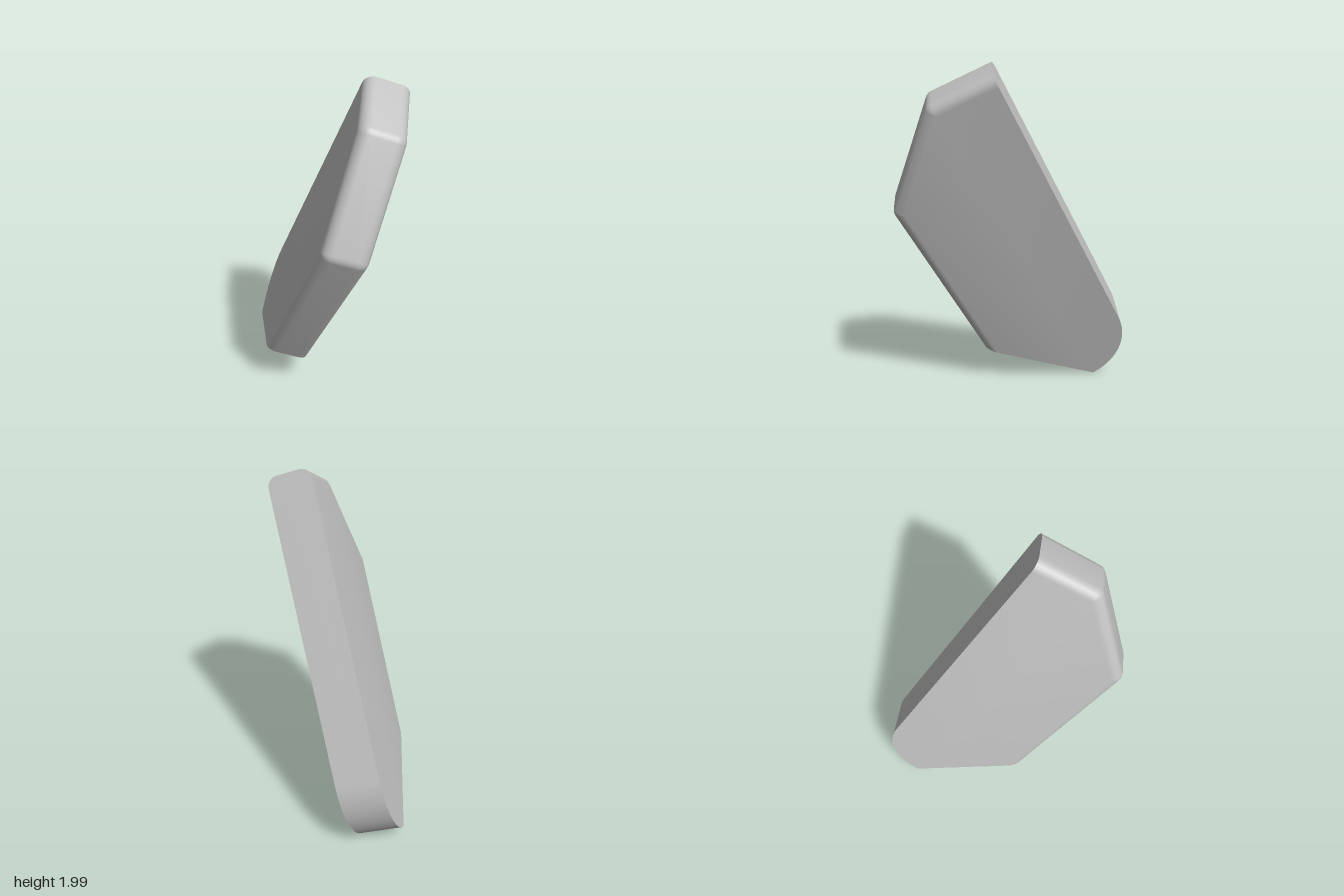
import * as THREE from 'three';
import { toCreasedNormals } from 'three/addons/utils/BufferGeometryUtils.js';

const RIGHT = 0.754, TOP = 1.85, LEFT = -0.085;   // straight walls of the plate outline
const FRONT = -0.12, BACK = -0.376, R = 0.06;     // faces and edge rounding

// Convex outline, counter-clockwise; the top, sloped and left walls are inset by d
function outline(d) {
  const pts = [];
  // rounded foot, from the bottom corner up to the right wall
  const foot = { x: 0.39, y: 0.1, r: 0.364 }, steps = 24;
  for (let i = 0; i <= steps; i++) {
    const a = -1.433 * (1 - i / steps);
    pts.push([foot.x + foot.r * Math.cos(a), foot.y + foot.r * Math.sin(a)]);
  }
  pts.push([RIGHT, TOP - d]);
  // softened corners at both ends of the 45 degree slope
  const k = R * Math.tan(Math.PI / 8), c = R - d;
  const corners = [[0.382 + k, TOP - R, 90], [LEFT + R, 1.383 - k, 135]];
  for (const [x, y, start] of corners) {
    for (let i = 0; i <= 4; i++) {
      const a = THREE.MathUtils.degToRad(start + i * 11.25);
      pts.push([x + c * Math.cos(a), y + c * Math.sin(a)]);
    }
  }
  // lower left corner slides along the slanted bottom wall
  pts.push([LEFT + d, 0.26 - d * 0.993]);
  return pts;
}

function plateGeometry() {
  // stacked outlines from back to front, with quarter-round rims
  const n = 6, layers = [];
  for (let i = 0; i <= n; i++) {
    const a = (i / n) * Math.PI / 2;
    layers.push([R * (1 - Math.sin(a)), BACK + R * (1 - Math.cos(a))]);
  }
  for (let i = n; i >= 0; i--) {
    const a = (i / n) * Math.PI / 2;
    layers.push([R * (1 - Math.sin(a)), FRONT - R * (1 - Math.cos(a))]);
  }
  const pos = [], idx = [];
  let m = 0;
  for (const [d, z] of layers) {
    const loop = outline(d);
    m = loop.length;
    for (const [x, y] of loop) pos.push(x, y, z);
  }
  for (let l = 0; l < layers.length - 1; l++) {
    for (let i = 0; i < m; i++) {
      const j = (i + 1) % m, a = l * m + i, b = l * m + j;
      idx.push(a, b, b + m, a, b + m, a + m);
    }
  }
  // flat back and front faces
  const last = (layers.length - 1) * m;
  for (let i = 1; i < m - 1; i++) {
    idx.push(0, i + 1, i);
    idx.push(last, last + i, last + i + 1);
  }
  const g = new THREE.BufferGeometry();
  g.setAttribute('position', new THREE.Float32BufferAttribute(pos, 3));
  g.setIndex(idx);
  return toCreasedNormals(g, Math.PI / 6);
}

export function createModel() {
  const group = new THREE.Group();
  group.name = 'tiltedPlate';
  const grey = new THREE.MeshStandardMaterial({ color: 0xc0c0c0 });
  grey.name = 'light grey';

  const plate = new THREE.Mesh(plateGeometry(), grey);
  plate.name = 'plate';

  // lean the plate: local y runs up its length, local z is its face normal
  const up = new THREE.Vector3(-0.197, 0.853, 0.486).normalize();
  const side = new THREE.Vector3().crossVectors(up, new THREE.Vector3(0.566, -0.312, 0.76)).normalize();
  const normal = new THREE.Vector3().crossVectors(side, up);
  plate.quaternion.setFromRotationMatrix(new THREE.Matrix4().makeBasis(side, up, normal));
  group.add(plate);

  // stand on the ground, centred
  group.updateMatrixWorld(true);
  const box = new THREE.Box3().setFromObject(plate, true);
  const mid = box.getCenter(new THREE.Vector3());
  plate.position.set(-mid.x, -box.min.y, -mid.z);
  return group;
}
